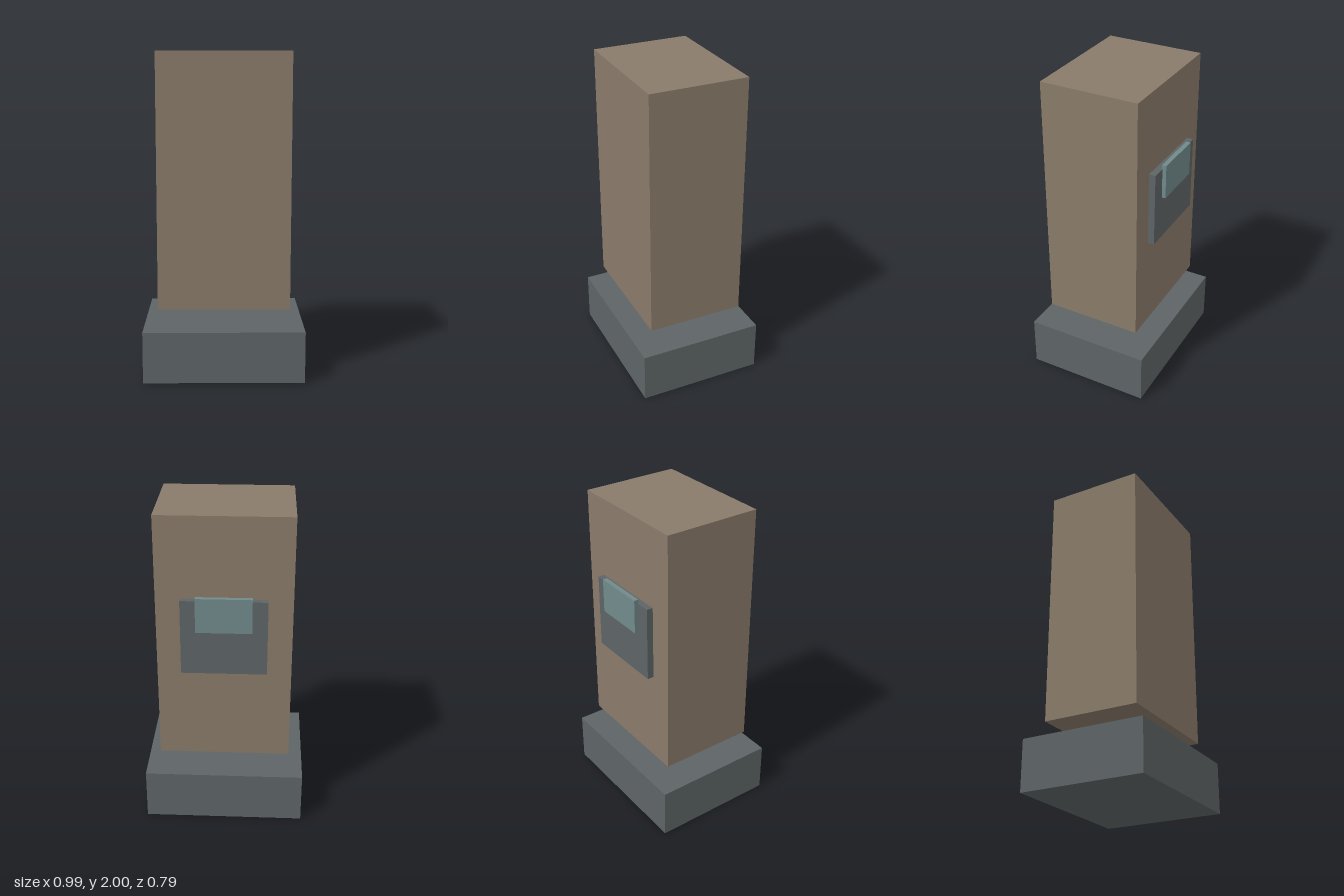
import * as THREE from 'three';

const material = (color) => new THREE.MeshStandardMaterial({ color, flatShading: true });

// Box given by its width, and its y and z ranges, centred on x = 0
function block(name, width, [y0, y1], [z0, z1], mat) {
  const mesh = new THREE.Mesh(new THREE.BoxGeometry(width, y1 - y0, z1 - z0), mat);
  mesh.name = name;
  mesh.position.set(0, (y0 + y1) / 2, (z0 + z1) / 2);
  return mesh;
}

export function createModel() {
  const model = new THREE.Group();
  model.name = 'pillar';

  const stone = material(0x8a7b6a);
  const slate = material(0x5e6567);
  const glass = material(0x718a8b);

  model.add(
    // Plinth, with the column hovering above it
    block('base', 0.99, [0, 0.32], [-0.395, 0.395], slate),
    block('column', 0.81, [0.44, 2], [-0.307, 0.307], stone),
    // Panel on the back, with a smaller plate overlapping its top edge
    block('backPanel', 0.516, [1.03, 1.5], [-0.348, -0.305], slate),
    block('backPlate', 0.334, [1.31, 1.525], [-0.372, -0.343], glass),
  );
  return model;
}
